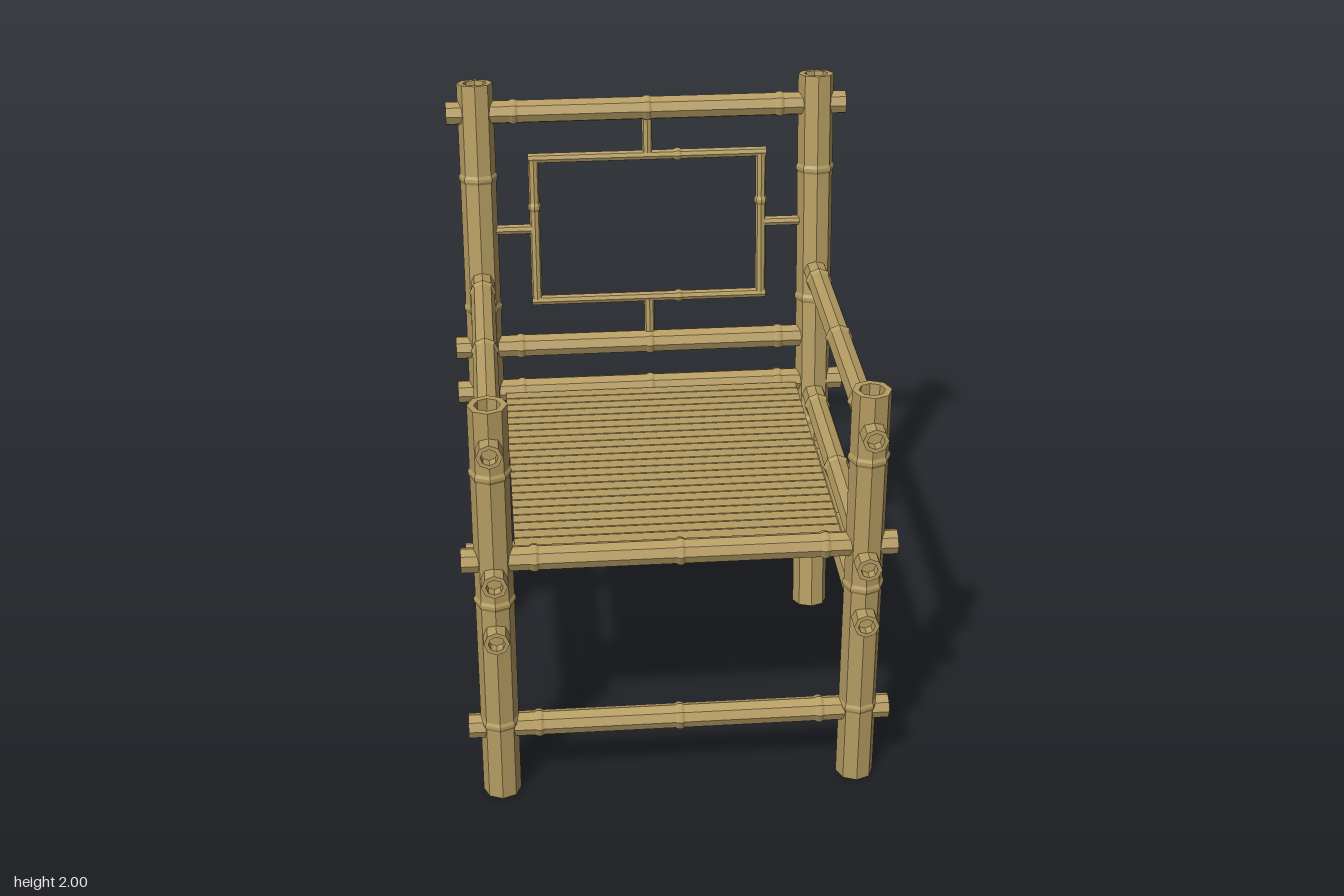
import * as THREE from 'three';

export function createModel() {
  const chair = new THREE.Group();
  chair.name = 'bambooArmchair';
  const bamboo = new THREE.MeshStandardMaterial({ color: 0xb59c62, flatShading: true });
  bamboo.name = 'bamboo tan';
  const UP = new THREE.Vector3(0, 1, 0);

  // Eight-sided cane between two points: hollow ends, raised joints at distances from the start
  function cane(name, from, to, r, joints = []) {
    const a = new THREE.Vector3(...from), b = new THREE.Vector3(...to);
    const len = a.distanceTo(b), inner = r * 0.66, depth = r * 0.8;
    const profile = [[0, depth], [inner, depth], [inner, 0], [r, 0]];
    for (const j of joints) profile.push([r, j - 0.015], [r + 0.005, j - 0.005], [r + 0.005, j + 0.005], [r, j + 0.015]);
    profile.push([r, len], [inner, len], [inner, len - depth], [0, len - depth]);
    const geo = new THREE.LatheGeometry(profile.map(p => new THREE.Vector2(...p)), 8);
    const mesh = new THREE.Mesh(geo, bamboo);
    mesh.name = name;
    mesh.position.copy(a);
    mesh.quaternion.setFromUnitVectors(UP, b.sub(a).normalize());
    chair.add(mesh);
  }

  const POST_X = 0.588, FRONT_Z = 0.63, POST_R = 0.062, RAIL_R = 0.041;
  const backZ = y => -0.42 - 0.126 * y; // centre line of the leaning back

  // Posts and side rails, mirrored
  for (const s of [-1, 1]) {
    const x = s * POST_X, side = s > 0 ? 'left' : 'right';
    cane(side + 'FrontPost', [x, 0, FRONT_Z], [x, 1.43, FRONT_Z], POST_R, [0.28, 0.74, 1.2]);
    cane(side + 'BackPost', [x, 0.008, backZ(0.008)], [x, 1.992, backZ(1.992)], POST_R, [0.28, 0.74, 1.2, 1.67]);
    cane(side + 'Armrest', [x, 1.305, 0.735], [x, 1.305, -0.685], RAIL_R, [0.27, 0.73, 1.19]);
    cane(side + 'SeatRail', [x, 0.845, 0.735], [x, 0.845, -0.625], RAIL_R, [0.215, 0.67, 1.125]);
    cane(side + 'LowerRail', [x, 0.635, 0.735], [x, 0.635, -0.6], RAIL_R, [0.185, 0.645, 1.105]);
  }

  // Cross rails
  const crossRail = (name, y, z) => cane(name, [-0.69, y, z], [0.69, y, z], RAIL_R, [0.23, 0.69, 1.15]);
  crossRail('frontStretcher', 0.255, FRONT_Z);
  crossRail('frontSeatRail', 0.885, FRONT_Z);
  crossRail('backStretcher', 0.255, backZ(0.255));
  crossRail('backSeatRail', 0.885, backZ(0.885));
  crossRail('lowerBackRail', 1.05, backZ(1.05));
  crossRail('topBackRail', 1.89, backZ(1.89));

  // Thin rectangular frame in the back
  const THIN = 0.018;
  for (const y of [1.215, 1.725])
    cane('backFrameBar', [-0.415, y, backZ(y)], [0.415, y, backZ(y)], THIN, [0.52]);
  for (const s of [-1, 1]) {
    const x = s * 0.397;
    cane('backFrameUpright', [x, 1.22, backZ(1.22)], [x, 1.72, backZ(1.72)], THIN, [0.335]);
    cane('backFrameSidePeg', [s * 0.41, 1.475, backZ(1.475)], [s * 0.55, 1.475, backZ(1.475)], THIN);
  }
  for (const [y0, y1] of [[1.07, 1.205], [1.735, 1.87]])
    cane('backFramePeg', [0, y0, backZ(y0)], [0, y1, backZ(y1)], THIN);

  // Seat slats
  const slatGeo = new THREE.BoxGeometry(1.04, 0.022, 0.043);
  for (let i = 0; i < 22; i++) {
    const slat = new THREE.Mesh(slatGeo, bamboo);
    slat.name = 'seatSlat';
    slat.position.set(0, 0.884, 0.548 - i * 0.0482);
    chair.add(slat);
  }
  return chair;
}
